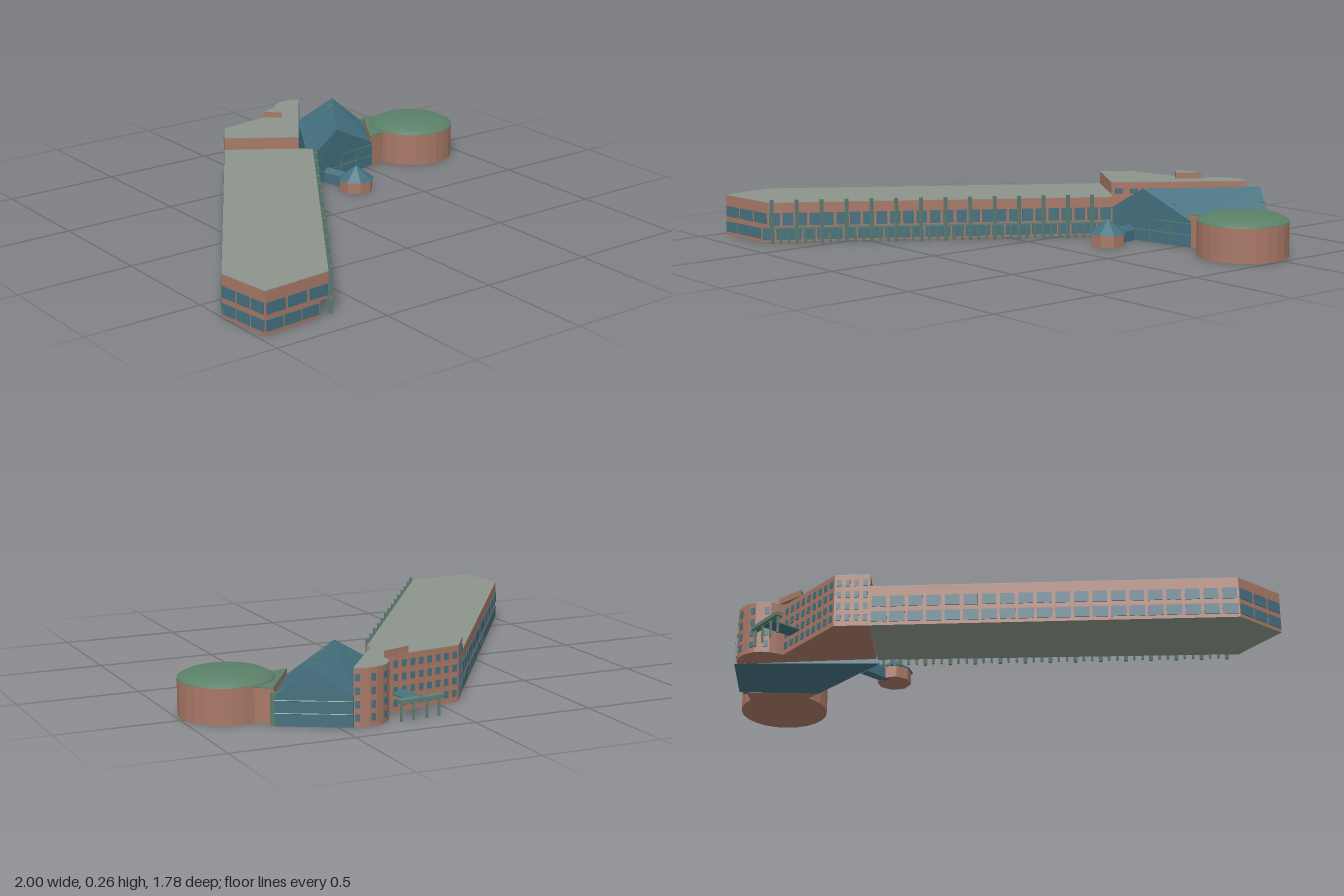
import * as THREE from 'three';
import { mergeGeometries } from 'three/addons/utils/BufferGeometryUtils.js';

export function createModel() {
  const root = new THREE.Group();
  root.name = 'campusBuilding';
  const mat = (name, color) => {
    const m = new THREE.MeshStandardMaterial({ color });
    m.name = name;
    return m;
  };
  const brick = mat('brick', 0xa87866);
  const roof = mat('roofGrey', 0x8b948a);
  const glass = mat('tealGlass', 0x44707f);
  const green = mat('copperGreen', 0x5b8068);
  const trim = mat('greenGreyTrim', 0x5f7f74);

  const add = (name, geo, m) => {
    const mesh = new THREE.Mesh(geo, m);
    mesh.name = name;
    root.add(mesh);
    return mesh;
  };
  const lerp = (a, b, t) => a.map((v, i) => v + (b[i] - v) * t);

  // Upright prism from a plan outline of [x, z] points
  const prism = (pts, y0, y1) => {
    const s = new THREE.Shape(pts.map(([x, z]) => new THREE.Vector2(x, -z)));
    return new THREE.ExtrudeGeometry(s, { depth: y1 - y0, bevelEnabled: false })
      .rotateX(-Math.PI / 2).translate(0, y0, 0);
  };
  const arc = (cx, cz, r, a0, a1, n) => Array.from({ length: n + 1 }, (_, i) => {
    const a = (a0 + (a1 - a0) * i / n) * Math.PI / 180;
    return [cx + r * Math.cos(a), cz + r * Math.sin(a)];
  });
  // Box along the plan line a-b
  const lineBox = (a, b, y0, y1, thick) => {
    const dx = b[0] - a[0], dz = b[1] - a[1];
    return new THREE.BoxGeometry(Math.hypot(dx, dz), y1 - y0, thick)
      .rotateY(-Math.atan2(dz, dx))
      .translate((a[0] + b[0]) / 2, (y0 + y1) / 2, (a[1] + b[1]) / 2);
  };
  // Row of n thin panes on the wall a-b
  const panes = (a, b, n, y0, y1, fill) => Array.from({ length: n }, (_, i) =>
    lineBox(lerp(a, b, (i + 0.5 - fill / 2) / n), lerp(a, b, (i + 0.5 + fill / 2) / n), y0, y1, 0.007));
  // Thin bar between two 3D points
  const bar = (a, b, w) => {
    const p = new THREE.Vector3(...a), q = new THREE.Vector3(...b);
    const g = new THREE.BoxGeometry(w, p.distanceTo(q), w);
    g.applyQuaternion(new THREE.Quaternion().setFromUnitVectors(
      new THREE.Vector3(0, 1, 0), q.clone().sub(p).normalize()));
    const c = p.add(q).multiplyScalar(0.5);
    return g.translate(c.x, c.y, c.z);
  };
  // Gabled passage between two plan points
  const gableRun = (a, b, w, base, eave, ridge) => {
    const dx = b[0] - a[0], dz = b[1] - a[1];
    const s = new THREE.Shape([[-w / 2, base], [w / 2, base], [w / 2, eave], [0, ridge], [-w / 2, eave]]
      .map(p => new THREE.Vector2(...p)));
    return new THREE.ExtrudeGeometry(s, { depth: Math.hypot(dx, dz), bevelEnabled: false })
      .rotateY(Math.atan2(dx, dz)).translate(a[0], 0, a[1]);
  };

  // Long wing: recessed ground floor under an overhanging upper floor
  const W = 0.175, F = 0.068;
  const A = [-1, 0.65], B = [-0.97, 0.885], C = [-0.67, 0.865], D = [0.15, -0.35];
  const E = [0.1, -0.39], G = [-0.17, -0.57];
  const C2 = [-0.715, 0.868], D2 = [0.105, -0.38];
  add('wingGroundFloor', prism([A, B, C2, D2, G], 0, F), [roof, brick]);
  add('wingUpperFloor', prism([A, B, C, D, E, G], F, W - 0.002), brick);
  add('wingRoof', prism([A, B, C, D, E, G], W - 0.002, W), roof);
  add('wingWindows', mergeGeometries([
    ...panes(A, G, 20, 0.082, 0.128, 0.78), ...panes(A, G, 20, 0.015, 0.06, 0.84),
    ...panes(A, B, 3, 0.082, 0.128, 0.85), ...panes(A, B, 3, 0.015, 0.06, 0.88),
    ...panes(B, C, 3, 0.082, 0.128, 0.86), ...panes(B, C2, 3, 0.015, 0.06, 0.9),
    ...panes(C, D, 26, 0.076, 0.13, 0.8), ...panes(C2, D2, 26, 0.008, 0.062, 0.88),
  ]), glass);

  // Tall columns and short arcade posts along the front
  const out = ([x, z]) => [x + 0.007, z + 0.005];
  const columns = [], posts = [];
  for (let i = 0; i < 42; i++) {
    const [x, z] = out(lerp(C, D, 0.012 + i / 41 * 0.975));
    if (i % 3 === 0) columns.push(bar([x, 0, z], [x, 0.187, z], 0.012));
    else posts.push(bar([x - 0.008, 0, z - 0.006], [x - 0.008, F, z - 0.006], 0.008));
  }
  add('frontColumns', mergeGeometries(columns), trim);
  add('arcadePosts', mergeGeometries(posts), trim);
  add('arcadeBeam', lineBox(out(C), out(D), F - 0.004, F + 0.003, 0.008), trim);

  // Taller rear block with a rounded stair tower
  const H = [-0.09, -0.69], J = [0.265, -0.74];
  const tower = arc(0.38, -0.77, 0.115, 180, 305, 8);
  const blockPlan = [E, G, H, J, ...tower];
  add('rearBlock', prism(blockPlan, 0, 0.226), brick);
  add('rearBlockRoof', prism(blockPlan, 0.226, 0.229), roof);
  const blockPanes = [];
  for (const y of [0.022, 0.072, 0.124, 0.176]) {
    blockPanes.push(...panes(G, H, 4, y, y + 0.028, 0.5), ...panes(H, J, 9, y, y + 0.028, 0.5));
    for (let i = 1; i < 8; i += 2) blockPanes.push(...panes(tower[i], tower[i + 1], 1, y, y + 0.028, 0.6));
  }
  blockPanes.push(...panes(E, tower[8], 9, 0.178, 0.2, 0.5));
  add('rearBlockWindows', mergeGeometries(blockPanes), glass);
  const loft = [[0.148, -0.725], [0.21, -0.67], [0.272, -0.765]];
  add('roofLoft', prism(loft, 0.229, 0.254), brick);
  add('roofLoftTop', prism(loft, 0.254, 0.256), roof);

  // Glazed atrium with a pitched roof
  const FL = [0.13, 0.122, -0.355], FP = [0.305, 0.226, -0.38], FR = [0.545, 0.11, -0.43];
  const BL = [0.45, 0.122, -0.875], BP = [0.59, 0.226, -0.797], BR = [0.71, 0.11, -0.73];
  const low = ([x, , z]) => [x, 0, z];
  const faces = [
    [low(FL), low(FR), FR, FP, FL], [low(FR), low(BR), BR, FR], [FR, BR, BP, FP],
    [low(BR), low(BL), BL, BP, BR], [low(BL), low(FL), FL, BL], [BL, FL, FP, BP],
    [low(FL), low(BL), low(BR), low(FR)],
  ];
  const verts = [];
  for (const f of faces)
    for (let i = 1; i < f.length - 1; i++) verts.push(...f[0], ...f[i], ...f[i + 1]);
  const atrium = new THREE.BufferGeometry();
  atrium.setAttribute('position', new THREE.Float32BufferAttribute(verts, 3));
  atrium.computeVertexNormals();
  add('atrium', atrium, glass);

  // Glazing bars on the atrium
  const bars = [bar(lerp(FL, FP, 0.5), lerp(BL, BP, 0.5), 0.003), bar(lerp(FR, FP, 0.5), lerp(BR, BP, 0.5), 0.003)];
  for (let i = 1; i < 5; i++) {
    const ridge = lerp(FP, BP, i / 5);
    bars.push(bar(ridge, lerp(FL, BL, i / 5), 0.003), bar(ridge, lerp(FR, BR, i / 5), 0.003));
  }
  for (const y of [0.05, 0.1])
    for (const [p, q] of [[FL, FR], [BL, BR]]) bars.push(bar([p[0], y, p[2]], [q[0], y, q[2]], 0.003));
  for (const t of [0.25, 0.5, 0.75]) {
    const p = lerp(FL, FR, t);
    bars.push(bar(low(p), [p[0], 0.115, p[2]], 0.003));
  }
  add('atriumGlazingBars', mergeGeometries(bars), green);

  // Round hall, low dome and the link to the atrium
  add('roundHall', prism(arc(0.803, -0.47, 0.188, 0, 345, 23), 0, 0.146), brick);
  const dome = new THREE.LatheGeometry(
    [[0.19, 0.143], [0.188, 0.15], [0.155, 0.167], [0.1, 0.175], [0, 0.179]]
      .map(p => new THREE.Vector2(...p)), 24);
  dome.translate(0.803, 0, -0.47);
  add('hallDome', dome, green);
  const linkPlan = [[0.53, -0.428], [0.65, -0.45], [0.8, -0.48], [0.76, -0.655], [0.7, -0.7]];
  add('hallLink', prism(linkPlan, 0, 0.137), brick);
  add('hallLinkRoof', prism(linkPlan, 0.137, 0.141), green);
  add('linkCornerPier', prism(arc(0.7, -0.705, 0.016, 0, 315, 7), 0, 0.125), green);

  // Octagonal pavilion and its glazed passage
  const px = 0.28, pz = -0.205;
  add('pavilionWalls', prism(arc(px, pz, 0.072, 22.5, 337.5, 7), 0, 0.052), brick);
  const cone = new THREE.ConeGeometry(0.08, 0.06, 8).rotateY(Math.PI / 8).toNonIndexed();
  cone.computeVertexNormals();
  add('pavilionRoof', cone.translate(px, 0.081, pz), glass);
  add('pavilionPassage', gableRun([0.245, -0.37], [0.272, -0.25], 0.04, 0, 0.045, 0.066), glass);

  // Entrance canopy at the rear
  add('canopyWalk', gableRun([0.185, -0.72], [0.163, -0.865], 0.075, 0.07, 0.074, 0.093), glass);
  add('canopyBar', lineBox([0.07, -0.853], [0.262, -0.876], 0.072, 0.088, 0.032), trim);
  add('canopyPosts', mergeGeometries([[0.08, -0.855], [0.135, -0.861], [0.195, -0.868], [0.25, -0.874]]
    .map(([x, z]) => bar([x, 0, z], [x, 0.075, z], 0.008))), trim);

  return root;
}
